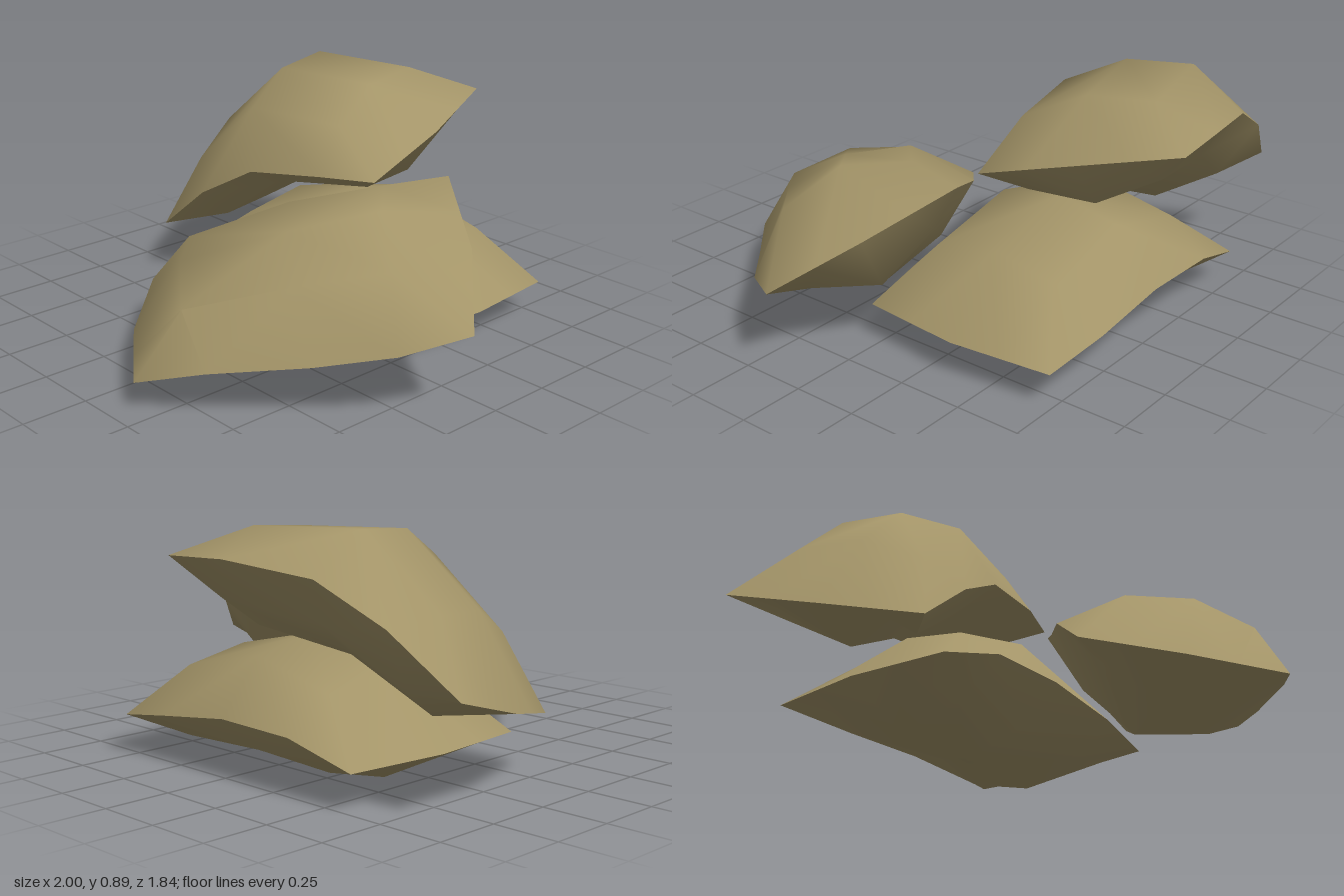
import * as THREE from 'three';
import { toCreasedNormals } from 'three/addons/utils/BufferGeometryUtils.js';

const V = (x, y, z) => new THREE.Vector3(x, y, z);
const N = 4; // cells along each side of a bag

// Stuffed sack spanned by four corners: back/front at the near end, back/front at the far end.
// arch lifts the middle, mid and far place the middle and far rows, bow widens the long seams,
// slump lowers the far back shoulder and belly is the depth under the far end.
function sackGeometry({ corners: [p00, p01, p10, p11], arch, mid, far, bow, slump, belly }) {
  const at = (u, v) => p00.clone().lerp(p10, u).lerp(p01.clone().lerp(p11, u), v);
  const along = at(1, 0.5).sub(at(0, 0.5)).normalize();
  const across = at(0.5, 1).sub(at(0.5, 0)).normalize();
  const up = across.clone().cross(along).normalize();
  across.copy(along).cross(up);

  const seamU = [0, 0.22, mid, 0.78, 1], seamV = [0, 0.25, 0.5, 0.75, 1];
  const innerU = [0, 0.2, mid, far, 1], innerV = [0, 0.17, 0.5, 0.83, 1];
  const seamLift = [0, arch * 0.5 + 0.035, arch, arch * 0.5, 0];
  const depth = [0, 0.135, belly * 0.5 + 0.15, belly, 0];

  function point(i, j, top) {
    const endSeam = i === 0 || i === N, sideSeam = j === 0 || j === N;
    if (endSeam || sideSeam) {
      // pinched seam, bowed outwards between the corners
      const p = at(seamU[i], seamV[j]);
      if (endSeam && !sideSeam) p.addScaledVector(along, Math.sign(i - 2) * (j === 2 ? 0.04 : 0.02));
      if (sideSeam && !endSeam) {
        p.addScaledVector(across, Math.sign(j - 2) * bow);
        p.y += seamLift[i];
      }
      return p;
    }
    // swollen top and shallower belly
    const midV = j === 2;
    let h;
    if (top) h = (midV ? 0.25 : 0.2) - (i === 3 && j === 1 ? slump : 0);
    else h = -depth[i] * (midV ? 1 : i === 2 ? 0.64 : 0.5);
    const p = at(innerU[i], innerV[j]).addScaledVector(up, h);
    if (i === 2) p.y += arch;
    return p;
  }

  const pos = [];
  const tri = (a, b, c) => [a, b, c].forEach((p) => pos.push(p.x, p.y, p.z));
  for (const top of [true, false]) {
    for (let i = 0; i < N; i++) {
      for (let j = 0; j < N; j++) {
        const a = point(i, j, top), c = point(i + 1, j + 1, top);
        let b = point(i, j + 1, top), d = point(i + 1, j, top);
        if (!top) [b, d] = [d, b];
        // diagonals run from the corners inwards
        if ((i < 2) === (j < 2)) { tri(a, b, c); tri(a, c, d); }
        else { tri(a, b, d); tri(b, c, d); }
      }
    }
  }
  const geo = new THREE.BufferGeometry();
  geo.setAttribute('position', new THREE.Float32BufferAttribute(pos, 3));
  return toCreasedNormals(geo, 0.9);
}

export function createModel() {
  const group = new THREE.Group();
  group.name = 'sandbagPile';
  const burlap = new THREE.MeshStandardMaterial({ color: 0xa39468 });
  burlap.name = 'burlap';

  const bags = [
    {
      name: 'bottomSandbag', arch: 0.085, mid: 0.5, far: 0.82, bow: 0.03, slump: 0, belly: 0.135,
      corners: [V(-0.62, 0.135, -0.75), V(-0.63, 0.135, 0.045), V(0.575, 0.135, -0.75), V(0.575, 0.135, 0.045)],
    },
    {
      name: 'upperBackSandbag', arch: 0.16, mid: 0.46, far: 0.86, bow: 0.035, slump: 0, belly: 0.135,
      corners: [V(-1, 0.41, -0.66), V(-0.76, 0.22, 0.07), V(0.07, 0.79, -0.92), V(0.23, 0.59, -0.17)],
    },
    {
      name: 'leaningFrontSandbag', arch: 0.01, mid: 0.53, far: 0.82, bow: 0.06, slump: 0.045, belly: 0.2,
      corners: [V(-0.38, 0.18, 0.42), V(0.18, 0.11, 0.92), V(0.49, 0.655, -0.29), V(1, 0.32, 0.13)],
    },
  ];
  for (const bag of bags) {
    const mesh = new THREE.Mesh(sackGeometry(bag), burlap);
    mesh.name = bag.name;
    group.add(mesh);
  }
  return group;
}
